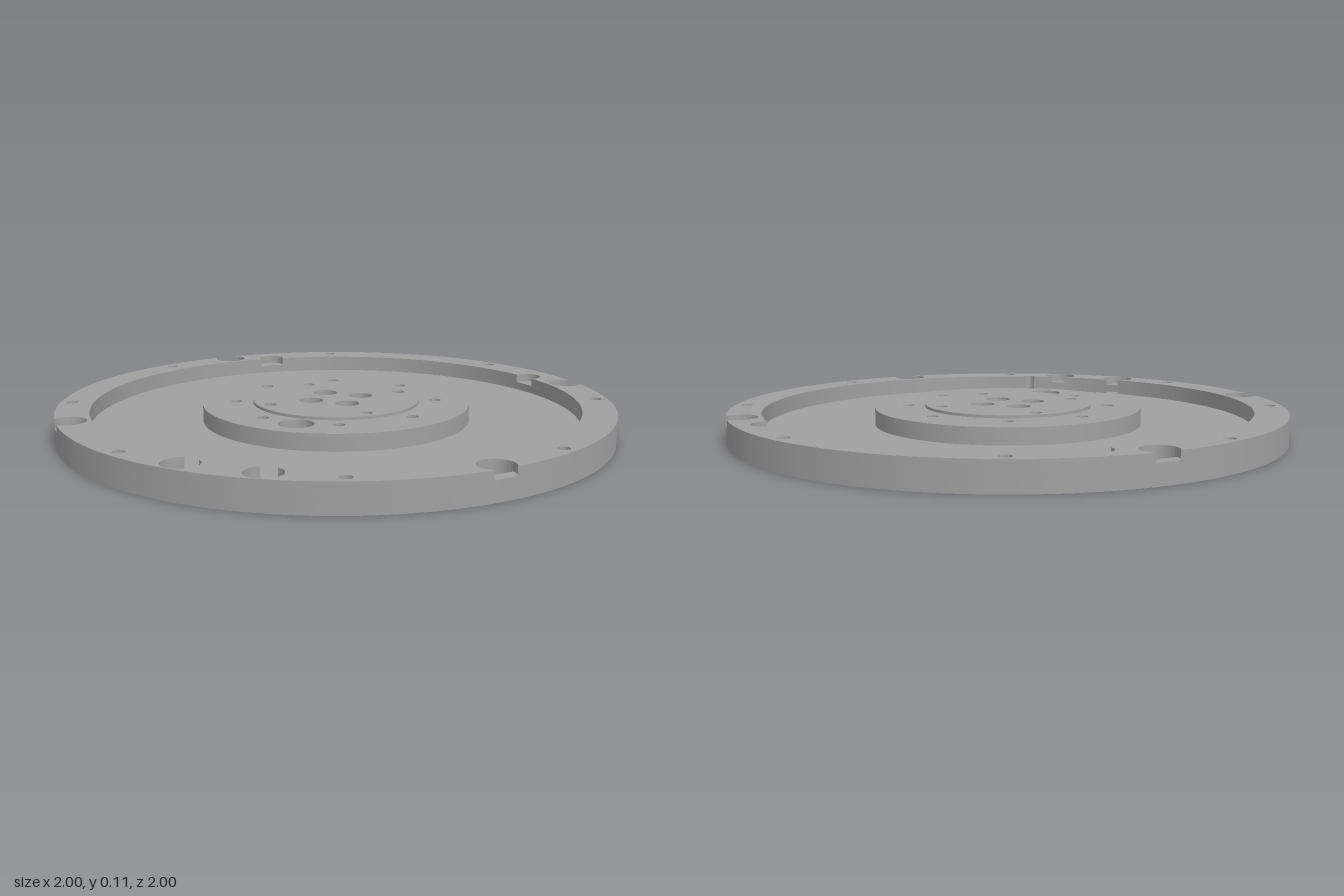
import * as THREE from 'three';
import { toCreasedNormals } from 'three/addons/utils/BufferGeometryUtils.js';

const { PI } = Math;
const FLOOR = 0.04, SHELF = 0.07, TOP = 0.1, BOSS_TOP = 0.11;

// A feature at (x, z) of radius r, stored in polar form on the shape plane (y = -z)
const spot = (x, z, r) => ({ x, y: -z, d: Math.hypot(x, z), phi: Math.atan2(-z, x), r });
const ringOf = (n, d, r, start) => Array.from({ length: n }, (_, i) => {
  const a = start + (i * 2 * PI) / n;
  return spot(d * Math.cos(a), d * Math.sin(a), r);
});

function circleHole(s) {
  const p = new THREE.Path();
  p.absarc(s.x, s.y, s.r, 0, 2 * PI, false);
  return p;
}

// Circle cut by a chord, keeping the side away from direction dir
function segmentHole(s, dir, half) {
  const p = new THREE.Path();
  p.absarc(s.x, s.y, s.r, dir + half, dir + 2 * PI - half, false);
  p.closePath();
  return p;
}

// Circle of radius R with round bites; `outward` bites go away from the centre
function bittenCircle(path, R, bites, outward) {
  if (!bites.length) {
    path.absarc(0, 0, R, 0, 2 * PI, false);
    return path;
  }
  const cuts = bites.map((b) => ({
    ...b, alpha: Math.acos((R * R + b.d * b.d - b.r * b.r) / (2 * R * b.d)),
  })).sort((a, b) => a.phi - b.phi);
  cuts.forEach((c, i) => {
    const next = cuts[(i + 1) % cuts.length];
    const end = next.phi - next.alpha + (i === cuts.length - 1 ? 2 * PI : 0);
    const beta = Math.atan2(R * Math.sin(c.alpha), R * Math.cos(c.alpha) - c.d);
    if (c.half) { // only the inner half of the pocket
      path.absarc(c.x, c.y, c.r, c.phi - beta, c.phi - PI / 2, false);
      path.absarc(c.x, c.y, c.r, c.phi + PI / 2, c.phi + beta, false);
    } else {
      path.absarc(c.x, c.y, c.r, c.phi - beta, c.phi + beta, !outward);
    }
    path.absarc(0, 0, R, c.phi + c.alpha, end, false);
  });
  path.closePath();
  return path;
}

export function createModel() {
  const model = new THREE.Group();
  const steel = new THREE.MeshStandardMaterial({ color: 0xa0a0a0 });
  steel.name = 'grey steel';

  function addLayer(name, y0, y1, shape, holes) {
    shape.holes.push(...holes);
    const geo = new THREE.ExtrudeGeometry(shape, {
      depth: y1 - y0, bevelEnabled: false, curveSegments: 48,
    });
    geo.rotateX(-PI / 2).translate(0, y0, 0);
    const mesh = new THREE.Mesh(toCreasedNormals(geo, 0.5), steel);
    mesh.name = name;
    model.add(mesh);
  }
  const disc = (R, bites = []) => bittenCircle(new THREE.Shape(), R, bites, false);
  const bore = (R, bites) => bittenCircle(new THREE.Path(), R, bites, true);

  // Bolt holes
  const rimBolts = ringOf(8, 0.958, 0.021, PI / 8).map(circleHole);
  const hubBolts = ringOf(8, 0.363, 0.021, PI / 8).map(circleHole);
  const bossBolts = ringOf(4, 0.256, 0.021, PI / 4).map(circleHole);
  const centreBolts = ringOf(4, 0.098, 0.02, PI / 4).map(circleHole);
  const counterbores = ringOf(4, 0.098, 0.043, PI / 4).map(circleHole);

  // Rim pockets and notches
  const edgePockets = [];
  for (const sx of [-1, 1]) for (const sz of [-1, 1]) {
    edgePockets.push(spot(sx * 0.732, sz * 0.613, 0.061));
  }
  const frontPockets = [spot(-0.133, 0.925, 0.061), spot(0.133, 0.925, 0.061)];
  const rearPockets = [spot(-0.57, -0.69, 0.05), spot(0.57, -0.69, 0.05)];
  const keyNotch = spot(0.253, 0.843, 0.023);

  // Base plate with a blind hole in its underside
  addLayer('basePlate', 0, FLOOR, disc(1), [
    ...rimBolts, ...hubBolts, ...bossBolts, ...centreBolts, circleHole(spot(0, 0, 0.035)),
  ]);

  // Raised rim: the lower layer holds the deep half of each pocket
  addLayer('rimLower', FLOOR, SHELF, disc(1), [
    bore(0.88, [...frontPockets.map((p) => ({ ...p, half: true })), keyNotch]),
    ...edgePockets.map((p) => segmentHole(p, p.phi, PI / 2)), ...rimBolts,
  ]);
  addLayer('rimUpper', SHELF, TOP, disc(1, edgePockets), [
    bore(0.88, [...frontPockets, ...rearPockets, keyNotch]), ...rimBolts,
  ]);

  // Hub with a stepped pocket
  const hubPocket = spot(0, 0.373, 0.061);
  const hubHoles = [...hubBolts, ...bossBolts, ...counterbores];
  addLayer('hubLower', FLOOR, SHELF, disc(0.483), [
    ...hubHoles, segmentHole(hubPocket, -PI / 2, Math.acos(0.047 / 0.061)),
  ]);
  addLayer('hubUpper', SHELF, TOP, disc(0.483), [...hubHoles, circleHole(hubPocket)]);

  // Thin centre boss
  addLayer('centreBoss', TOP, BOSS_TOP, disc(0.302), [...bossBolts, ...counterbores]);

  return model;
}
